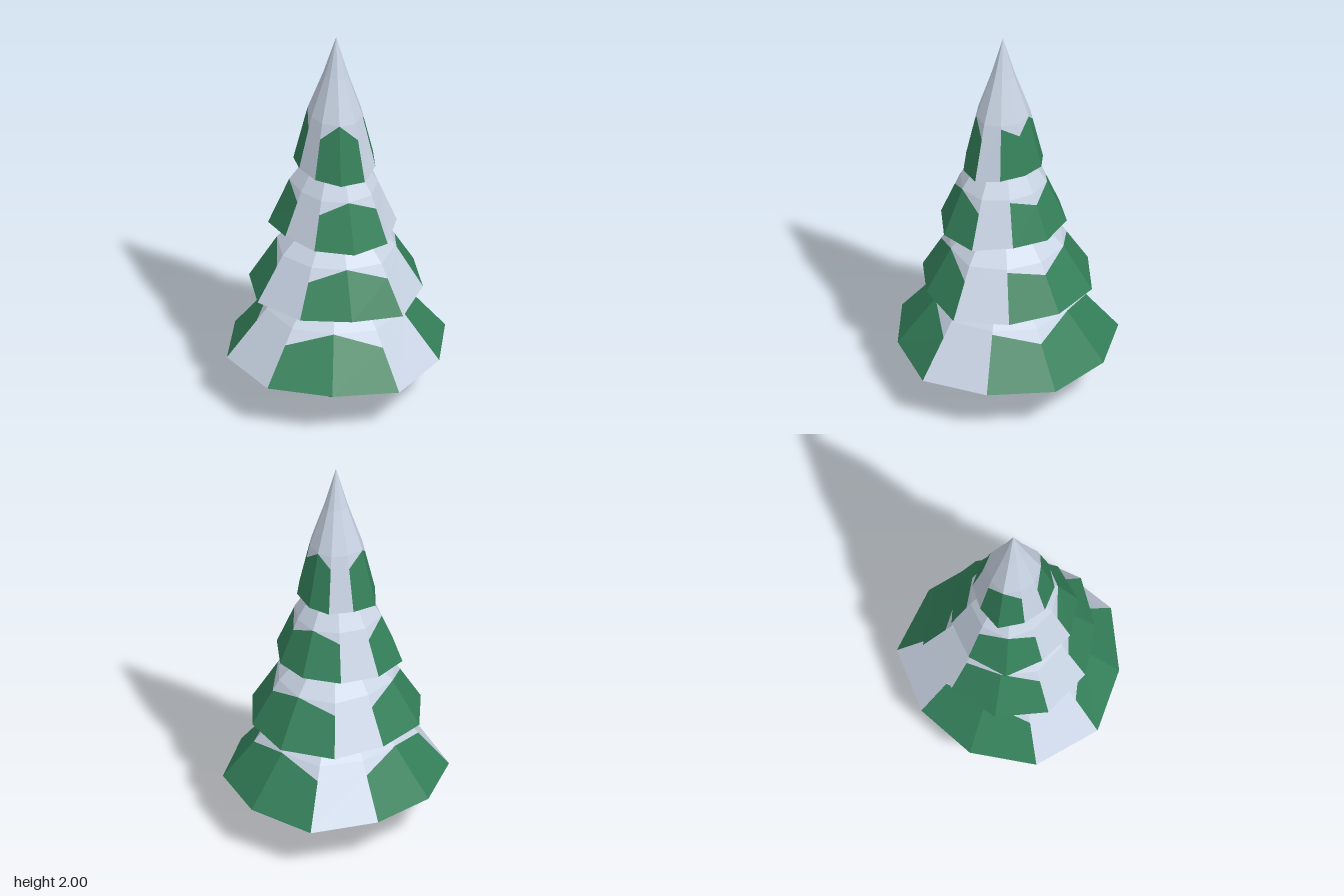
import * as THREE from 'three';

const AXIS_Z = 0.02; // the tree's axis leans slightly to the front

// Ten rim corners per tier (x, z), from the back round by +x to the front
const TIERS = [
  {
    name: 'bottomTier', y: 0.255, mid: [0.64, 0.5], rings: [[0.38, 0.63]],
    rim: [[0.14, -0.53], [0.42, -0.33], [0.55, -0.02], [0.45, 0.3], [0.2, 0.53],
      [-0.13, 0.52], [-0.42, 0.37], [-0.55, 0.05], [-0.44, -0.26], [-0.19, -0.46]],
    dy: [-0.01, 0, -0.005, 0, -0.01, 0.005, 0, 0, 0, 0],
  },
  {
    name: 'lowerMiddleTier', y: 0.6, mid: [0.68, 0.83], rings: [[0.37, 0.97]],
    rim: [[0.02, -0.42], [0.28, -0.33], [0.41, -0.1], [0.4, 0.16], [0.25, 0.39],
      [-0.01, 0.42], [-0.25, 0.335], [-0.415, 0.13], [-0.4, -0.13], [-0.22, -0.315]],
    dy: [0, 0, 0, 0, -0.01, 0.01, 0, 0, 0, 0],
  },
  {
    name: 'upperMiddleTier', y: 0.95, mid: [0.69, 1.18], rings: [[0.42, 1.31]],
    rim: [[-0.015, -0.285], [0.17, -0.245], [0.275, -0.095], [0.285, 0.09], [0.2, 0.27],
      [0.02, 0.34], [-0.165, 0.275], [-0.275, 0.12], [-0.32, -0.065], [-0.2, -0.23]],
    dy: [0, 0.01, 0, 0.01, -0.01, -0.01, 0, 0.005, -0.02, 0],
  },
  {
    name: 'topTier', y: 1.28, mid: [0.67, 1.57], rings: [[0.3, 1.79], [0, 2]],
    rim: [[0.04, -0.175], [0.135, -0.125], [0.19, -0.015], [0.175, 0.11], [0.1, 0.21],
      [-0.02, 0.22], [-0.135, 0.155], [-0.19, 0.047], [-0.19, -0.085], [-0.08, -0.155]],
    dy: [0, 0.01, 0.02, 0.01, -0.01, -0.015, 0, 0.01, -0.01, 0],
  },
];

// Faces fully under snow, and how far the bare needles climb at each corner
const SNOW_FACES = [3, 6, 9];
const PATCH = [0.78, 1, 0.76, 0.95, 0.72, 1, 0.72, 0.76, 1, 0.76];

// Collects flat-shaded triangles for one mesh
class Faces {
  constructor() { this.p = []; }
  tri(a, b, c) {
    const area = b.clone().sub(a).cross(c.clone().sub(a)).length();
    if (area > 1e-7) for (const v of [a, b, c]) this.p.push(v.x, v.y, v.z);
  }
  quad(a, b, c, d) { this.tri(a, b, c); this.tri(a, c, d); }
  mesh(name, material) {
    const g = new THREE.BufferGeometry();
    g.setAttribute('position', new THREE.Float32BufferAttribute(this.p, 3));
    g.computeVertexNormals();
    const m = new THREE.Mesh(g, material);
    m.name = name;
    return m;
  }
}

function makeTier(tier, mats) {
  const needles = new Faces(), snow = new Faces(), under = new Faces();
  const n = tier.rim.length;
  const ring = ([scale, y]) => tier.rim.map(([x, z]) =>
    new THREE.Vector3(x * scale, y, AXIS_Z + (z - AXIS_Z) * scale));
  const rim = ring([1, tier.y]);
  rim.forEach((v, i) => { v.y += tier.dy[i]; });
  const mid = ring(tier.mid);
  const patch = rim.map((v, i) => v.clone().lerp(mid[i], PATCH[i]));
  const upper = [mid, ...tier.rings.map(ring)];
  const centre = new THREE.Vector3(0, tier.y + 0.01, AXIS_Z);

  for (let i = 0; i < n; i++) {
    const j = (i + 1) % n;
    // skirt: needles below, snow above
    const low = SNOW_FACES.includes(i) ? snow : needles;
    low.quad(rim[j], rim[i], patch[i], patch[j]);
    snow.quad(patch[j], patch[i], mid[i], mid[j]);
    // snow over the shoulders
    for (let k = 0; k + 1 < upper.length; k++) {
      snow.quad(upper[k][j], upper[k][i], upper[k + 1][i], upper[k + 1][j]);
    }
    under.tri(centre, rim[i], rim[j]);
  }

  const group = new THREE.Group();
  group.name = tier.name;
  group.add(needles.mesh('needles', mats.green), snow.mesh('snow', mats.snow),
    under.mesh('underside', mats.dark));
  return group;
}

function material(name, color) {
  const m = new THREE.MeshStandardMaterial({ color });
  m.name = name;
  return m;
}

export function createModel() {
  const mats = {
    green: material('needle green', 0x34805a),
    dark: material('shaded green', 0x1f4435),
    snow: material('snow', 0xc9d4e4),
    bark: material('bark brown', 0x5a3a31),
  };
  const tree = new THREE.Group();
  tree.name = 'snowyTree';

  // Six-sided trunk with a flared foot
  const profile = [[0, 0], [0.112, 0], [0.082, 0.1], [0.068, 0.3]].map(([r, y]) => new THREE.Vector2(r, y));
  const trunkGeo = new THREE.LatheGeometry(profile, 6, Math.PI / 6).toNonIndexed();
  trunkGeo.computeVertexNormals();
  const trunk = new THREE.Mesh(trunkGeo, mats.bark);
  trunk.name = 'trunk';
  trunk.position.z = AXIS_Z;
  tree.add(trunk);

  for (const tier of TIERS) tree.add(makeTier(tier, mats));
  return tree;
}
